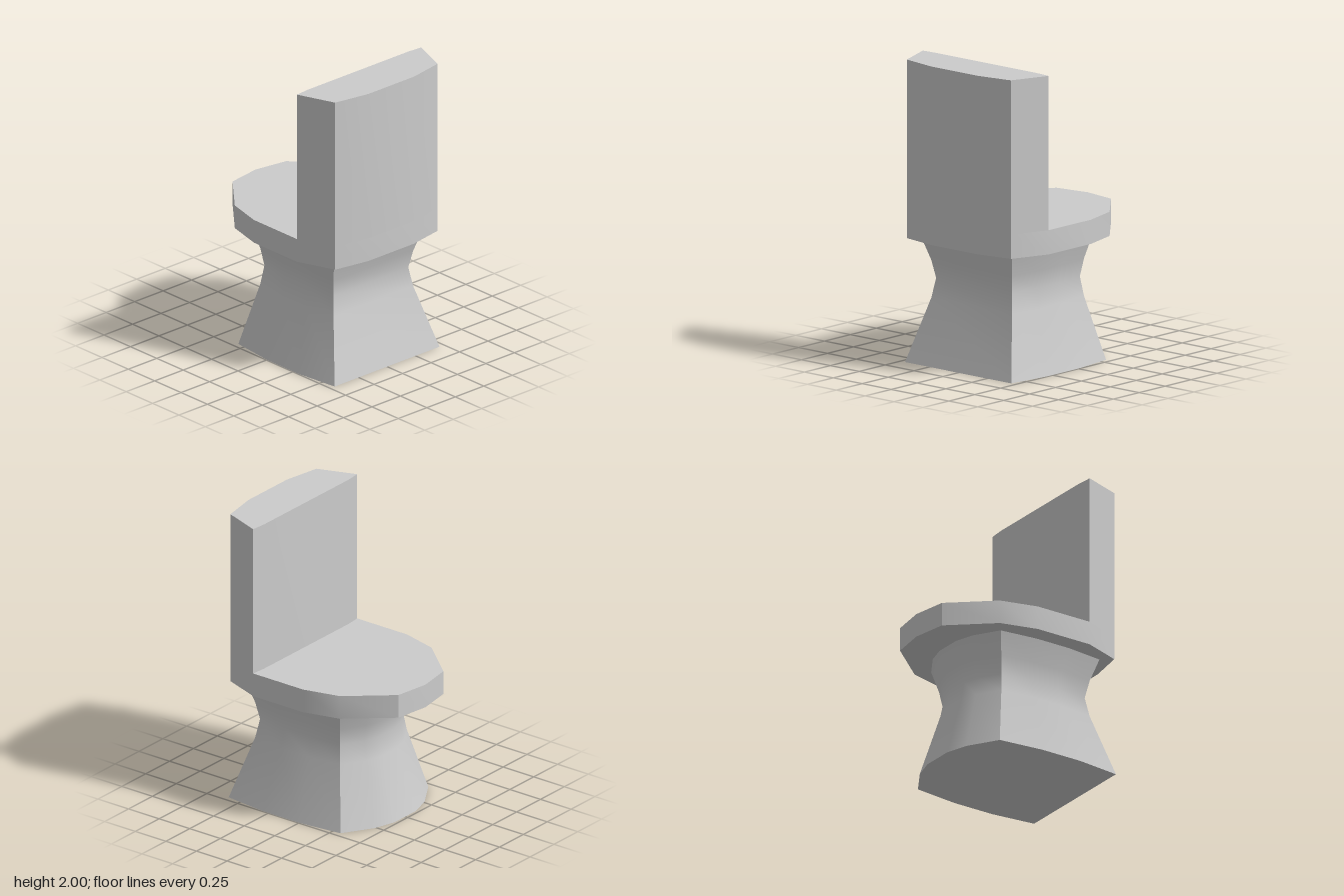
import * as THREE from 'three';
import { toCreasedNormals } from 'three/addons/utils/BufferGeometryUtils.js';

const material = new THREE.MeshStandardMaterial({ color: 0xcccccc });

// Mirrors a half outline of [x, z] points (front to back, x >= 0) into a closed floor plan
function mirroredPlan(half) {
  const left = half.map(([x, z]) => new THREE.Vector2(x, -z));
  const right = half.filter(([x]) => x > 0).reverse().map(([x, z]) => new THREE.Vector2(-x, -z));
  return new THREE.Shape([...left, ...right]);
}

// Extrudes a floor plan upwards from y = 0
function extrudeUp(half, height, steps = 1) {
  return new THREE.ExtrudeGeometry(mirroredPlan(half), { depth: height, steps, bevelEnabled: false })
    .rotateX(-Math.PI / 2);
}

function addPart(group, name, geometry, y = 0) {
  const mesh = new THREE.Mesh(toCreasedNormals(geometry, THREE.MathUtils.degToRad(32)), material);
  mesh.name = name;
  mesh.position.y = y;
  group.add(mesh);
}

export function createModel() {
  const group = new THREE.Group();
  group.name = 'chair';

  // Pedestal: one plan scaled about its centre at each level to form a waist
  const levels = [[0, 1], [0.42, 0.76], [0.55, 0.715], [0.67, 0.76], [0.82, 0.85]];
  const centreZ = 0.062;
  const pedestal = extrudeUp([
    [0.46, 0.603], [0.495, 0.3], [0.495, 0], [0.46, -0.31], [0.26, -0.435], [0.11, -0.479],
  ], 1, levels.length - 1);
  const pos = pedestal.attributes.position;
  for (let i = 0; i < pos.count; i++) {
    const [y, k] = levels[Math.round(pos.getY(i) * (levels.length - 1))];
    pos.setXYZ(i, pos.getX(i) * k, y, centreZ + (pos.getZ(i) - centreZ) * k);
  }
  addPart(group, 'pedestal', pedestal);

  // Seat slab and backrest share the same rounded outer edge
  const backEdge = [[0.2, 0.642], [0.45, 0.597], [0.545, 0.337]];
  addPart(group, 'seat', extrudeUp([
    ...backEdge, [0.545, -0.07], [0.48, -0.322], [0.235, -0.608], [0, -0.645],
  ], 0.16), 0.82);
  addPart(group, 'backrest', extrudeUp([...backEdge, [0.44, 0.328]], 1.02), 0.98);

  return group;
}
